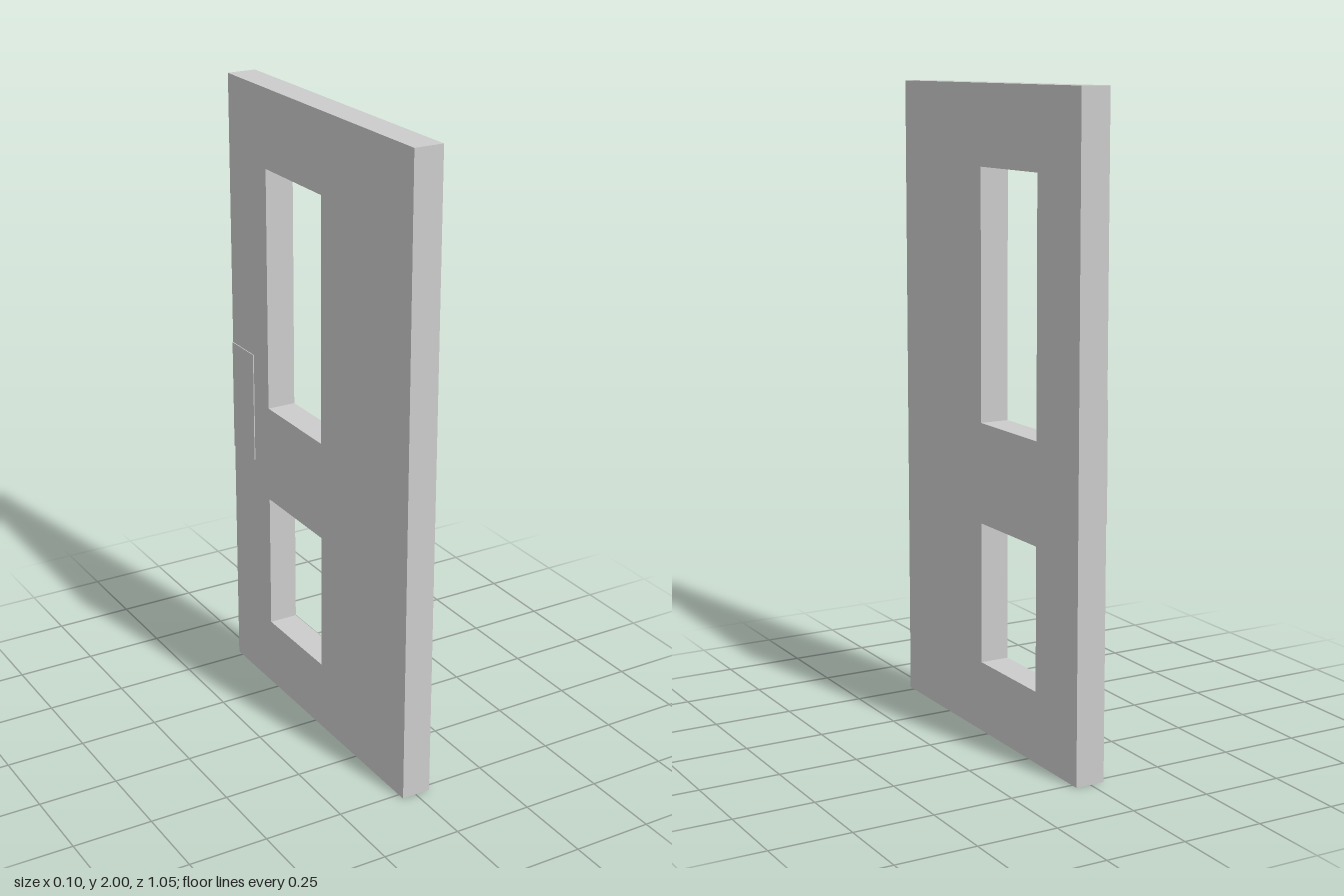
import * as THREE from 'three';

const material = new THREE.MeshStandardMaterial({ color: 0xcccccc, flatShading: true });

// Traces a rectangle onto a shape or path
function rectangle(path, x0, y0, x1, y1) {
  path.moveTo(x0, y0);
  path.lineTo(x1, y0);
  path.lineTo(x1, y1);
  path.lineTo(x0, y1);
  path.closePath();
  return path;
}

export function createModel() {
  const group = new THREE.Group();
  group.name = 'door';

  // Door slab with two window openings, drawn side-on (shape x = -z)
  const outline = rectangle(new THREE.Shape(), -0.524, 0, 0.524, 2);
  for (const [bottom, top] of [[0.222, 0.666], [0.98, 1.754]]) {
    outline.holes.push(rectangle(new THREE.Path(), -0.037, bottom, 0.292, top));
  }
  const slabGeometry = new THREE.ExtrudeGeometry(outline, { depth: 0.093, bevelEnabled: false });
  slabGeometry.rotateY(Math.PI / 2).translate(-0.045, 0, 0);
  const slab = new THREE.Mesh(slabGeometry, material);
  slab.name = 'doorSlab';
  group.add(slab);

  // Thin lock plate on the right face, by the back edge
  const plate = new THREE.Mesh(new THREE.BoxGeometry(0.004, 0.36, 0.138), material);
  plate.name = 'lockPlate';
  plate.position.set(-0.046, 0.95, -0.454);
  group.add(plate);

  return group;
}
